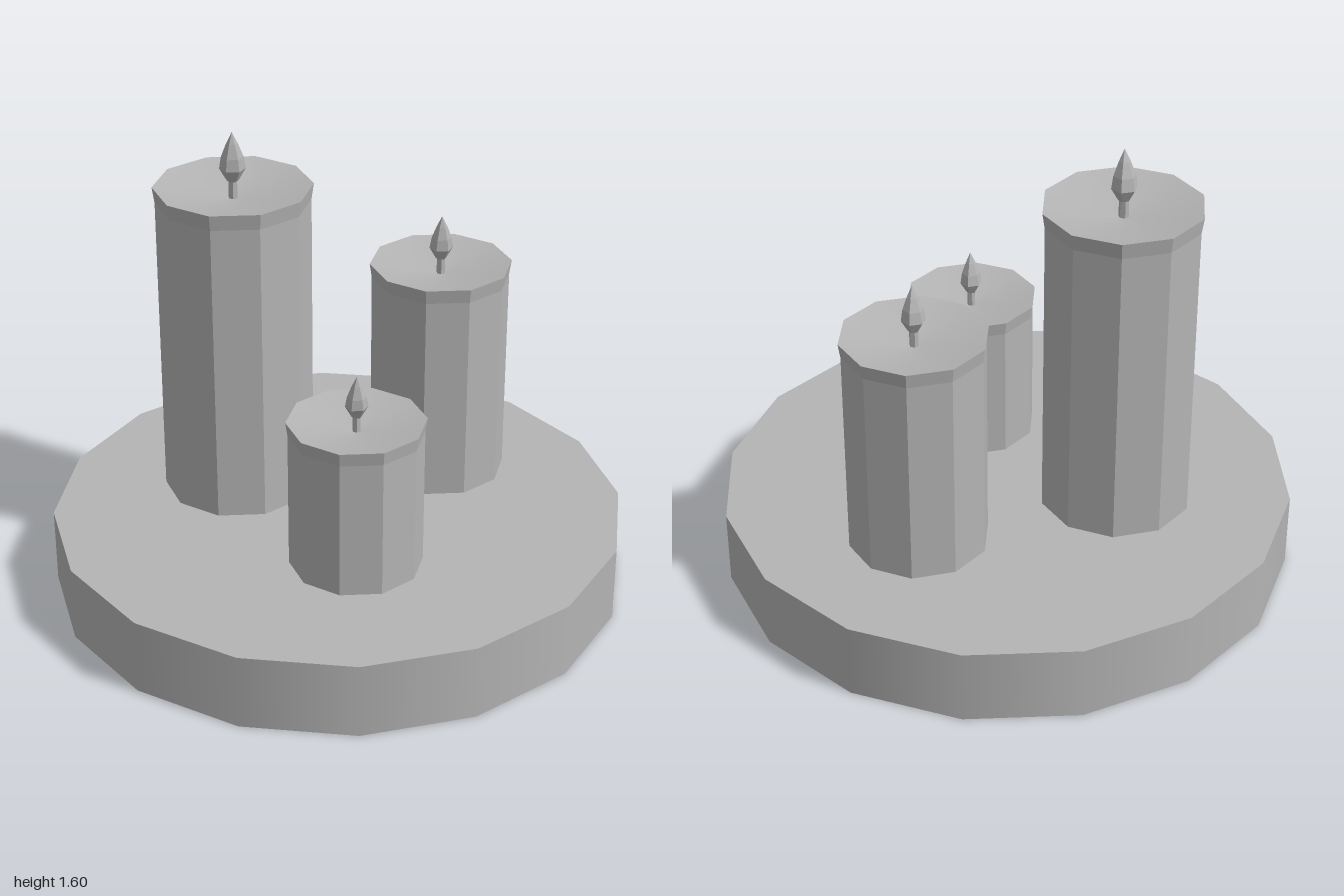
import * as THREE from 'three';

export function createModel() {
  const group = new THREE.Group();
  group.name = 'candleTray';
  const grey = new THREE.MeshStandardMaterial({ color: 0xb4b4b4 });
  grey.name = 'plain grey';

  const add = (parent, name, geometry, y = 0) => {
    const mesh = new THREE.Mesh(geometry, grey);
    mesh.name = name;
    mesh.position.y = y;
    parent.add(mesh);
    return mesh;
  };
  // lathe with its corners on the x axis
  const lathe = (points, sides) =>
    new THREE.LatheGeometry(points.map(([r, y]) => new THREE.Vector2(r, y)), sides, Math.PI / 2);
  const faceted = (geometry) => {
    const flat = geometry.toNonIndexed();
    flat.computeVertexNormals();
    return flat;
  };

  // round tray
  const trayHeight = 0.265;
  add(group, 'tray', new THREE.CylinderGeometry(1, 1, trayHeight, 16), trayHeight / 2);

  const candle = (name, x, z, radius, top) => {
    const part = new THREE.Group();
    part.name = name;
    part.position.set(x, 0, z);
    group.add(part);
    const s = radius / 0.273; // wick and flame grow with the candle
    const dip = 0.045 * s;

    // ten flat sides with a slightly flared rim
    add(part, 'waxSides', faceted(lathe([
      [radius * 0.97, trayHeight - 0.01],
      [radius * 0.97, top - 0.055 * s],
      [radius, top],
    ], 10)));

    // smooth melted hollow
    add(part, 'waxTop', lathe([
      [radius, top], [radius * 0.5, top - dip * 0.65], [0, top - dip],
    ], 10));

    // wick
    const wickHeight = dip + 0.025 * s;
    add(part, 'wick', faceted(new THREE.CylinderGeometry(0.017 * s, 0.017 * s, wickHeight, 6)),
      top - dip + wickHeight / 2);

    // six-sided flame whose tip leans a little forward
    const flame = lathe([
      [0, 0.015], [0.02, 0.018], [0.045, 0.062], [0.038, 0.105], [0.02, 0.153], [0, 0.195],
    ].map(([r, y]) => [r * s, y * s]), 6);
    const p = flame.attributes.position;
    for (let i = 0; i < p.count; i++) {
      const lean = Math.max(0, p.getY(i) / s - 0.06) * 0.08 * s;
      p.setZ(i, p.getZ(i) + lean);
    }
    add(part, 'flame', faceted(flame), top);
  };

  candle('tallCandle', -0.342, -0.193, 0.273, 1.405);
  candle('mediumCandle', 0.377, -0.27, 0.249, 1.065);
  candle('shortCandle', 0.035, 0.375, 0.234, 0.8);

  return group;
}
